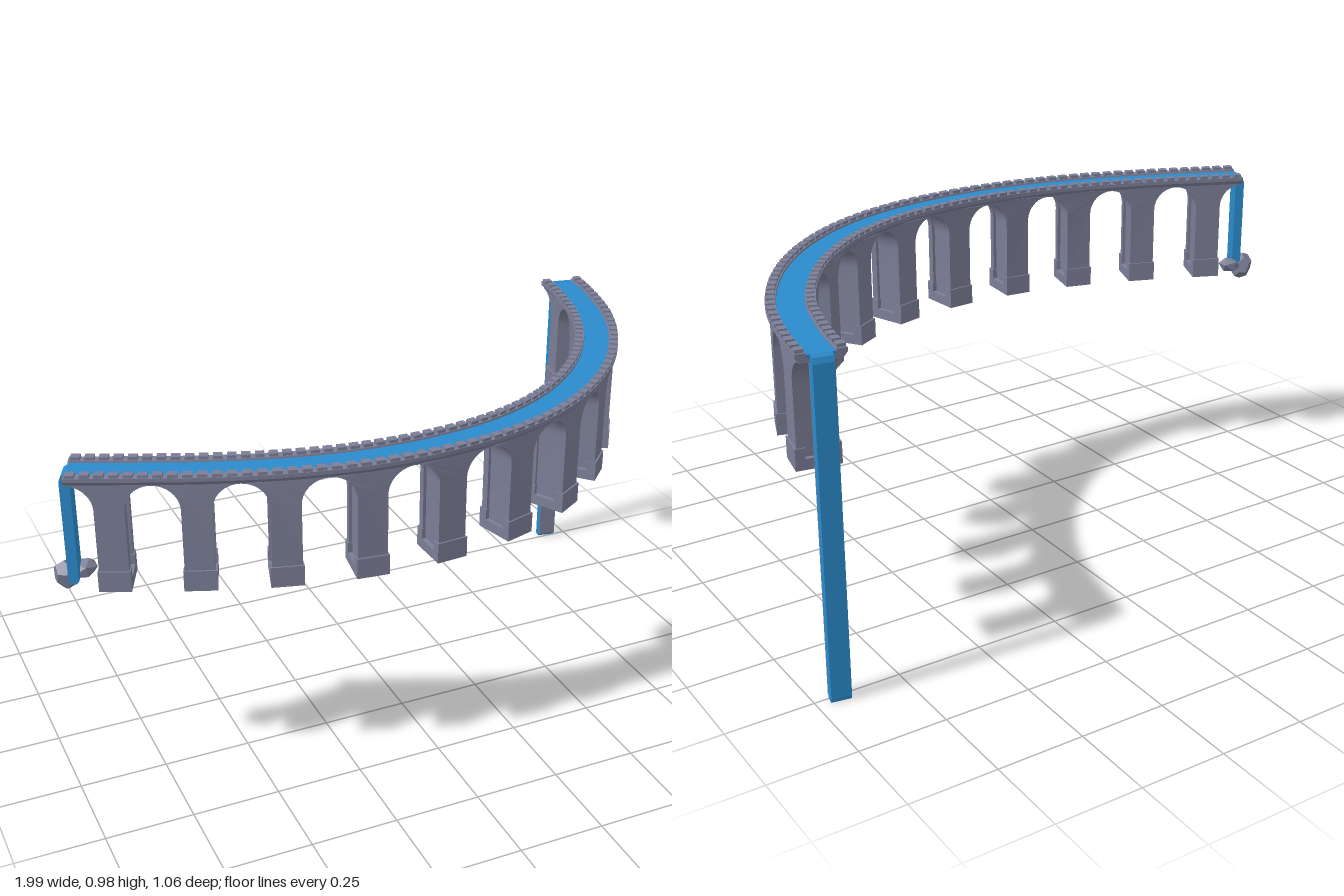
import * as THREE from 'three';
import { toCreasedNormals } from 'three/addons/utils/BufferGeometryUtils.js';

const stone = new THREE.MeshStandardMaterial({ color: 0x7b7e96 });
stone.name = 'stone';
const water = new THREE.MeshStandardMaterial({ color: 0x2a8acb });
water.name = 'water';

// Centre line of the aqueduct, through the pier positions
const path = new THREE.CatmullRomCurve3([
  [-0.945, 0.205], [-0.84, 0.25], [-0.625, 0.34], [-0.41, 0.41], [-0.195, 0.45],
  [0.025, 0.452], [0.235, 0.415], [0.43, 0.33], [0.605, 0.195], [0.745, 0.027],
  [0.85, -0.17], [0.912, -0.39], [0.932, -0.513],
].map(([x, z]) => new THREE.Vector3(x, 0, z)));
const LENGTH = path.getLength();
const BAYS = 11;
const BAY = LENGTH / BAYS;

// Bends a geometry laid out as x = distance along, y = height, z = outward offset
function bend(geo) {
  const p = geo.attributes.position;
  for (let i = 0; i < p.count; i++) {
    const u = THREE.MathUtils.clamp(p.getX(i) / LENGTH, 0, 1);
    const c = path.getPointAt(u), t = path.getTangentAt(u), w = p.getZ(i);
    p.setXYZ(i, c.x - t.z * w, p.getY(i), c.z + t.x * w);
  }
  return toCreasedNormals(geo, 0.5);
}

// Straight-sided cross-section [offset, height] swept along the whole path
function sweep(profile) {
  const shape = new THREE.Shape(profile.map(([w, y]) => new THREE.Vector2(-w, y)));
  const geo = new THREE.ExtrudeGeometry(shape, { depth: LENGTH, steps: 66, bevelEnabled: false });
  return bend(geo.rotateY(Math.PI / 2));
}

// Pier with half an arch on each side
function pierShape(halfWidth, bottom) {
  const r = BAY / 2 - halfWidth, apex = 0.946, spring = apex - r, top = 0.955;
  const side = [[halfWidth, bottom]];
  for (let i = 0; i <= 10; i++) {
    const a = (i / 10) * Math.PI / 2;
    side.push([BAY / 2 - r * Math.cos(a), spring + r * Math.sin(a)]);
  }
  for (let i = 3; i > 0; i--) side.push([BAY / 2 * i / 3, top]);
  const mirrored = side.map(([x, y]) => [-x, y]).reverse();
  return new THREE.Shape([...side, [0, top], ...mirrored].map(([x, y]) => new THREE.Vector2(x, y)));
}

function slab(shape, along, from, to) {
  const geo = new THREE.ExtrudeGeometry(shape, { depth: to - from, bevelEnabled: false, steps: 1 });
  return bend(geo.translate(along, 0, from));
}

function block(along, y0, y1, from, to, width) {
  const geo = new THREE.BoxGeometry(width, y1 - y0, to - from);
  return bend(geo.translate(along, (y0 + y1) / 2, (from + to) / 2));
}

function add(parent, name, geo, material) {
  const mesh = new THREE.Mesh(geo, material);
  mesh.name = name;
  parent.add(mesh);
  return mesh;
}

// Group standing at one end of the path, local x along the path
function endFrame(u, name) {
  const g = new THREE.Group(), t = path.getTangentAt(u);
  g.name = name;
  g.position.copy(path.getPointAt(u));
  g.rotation.y = Math.atan2(-t.z, t.x);
  return g;
}

// Falling water with a rounded lip and a chamfered foot; dir is the outward way
function fallGeometry(bottom, width, dir) {
  const outline = [[-0.012, bottom + 0.008], [-0.006, bottom], [0.014, bottom], [0.016, bottom + 0.01],
    [0.016, 0.945], [0.01, 0.96], [0, 0.967], [-0.012, 0.967]];
  const shape = new THREE.Shape(outline.map(([x, y]) => new THREE.Vector2(x * dir, y)));
  return new THREE.ExtrudeGeometry(shape, { depth: width, bevelEnabled: false }).translate(0, 0, -width / 2);
}

export function createModel() {
  const model = new THREE.Group();
  model.name = 'aqueduct';

  // Arcade: two arched rims around a recessed core, on plinths
  const arcade = new THREE.Group();
  arcade.name = 'arcade';
  model.add(arcade);
  for (let k = 0; k < BAYS; k++) {
    const s = (k + 0.5) * BAY;
    add(arcade, 'pierCore', slab(pierShape(0.031, 0.66), s, -0.036, 0.036), stone);
    for (const side of [-1, 1]) {
      const a = side * 0.036, b = side * 0.056;
      add(arcade, 'archRim', slab(pierShape(0.04, 0.66), s, Math.min(a, b), Math.max(a, b)), stone);
      const c = side * 0.034, d = side * 0.061;
      add(arcade, 'plinthSide', block(s, 0.66, 0.695, Math.min(c, d), Math.max(c, d), 0.087), stone);
    }
    add(arcade, 'plinth', block(s, 0.635, 0.665, -0.061, 0.061, 0.087), stone);
  }

  // Channel with cornice and low walls
  add(model, 'channel', sweep([
    [-0.056, 0.948], [0.056, 0.948], [0.066, 0.96], [0.066, 0.971], [0.038, 0.971],
    [0.035, 0.957], [-0.035, 0.957], [-0.038, 0.971], [-0.066, 0.971], [-0.066, 0.96],
  ]), stone);
  add(model, 'channelWater', sweep([
    [-0.037, 0.957], [0.037, 0.957], [0.037, 0.966], [-0.037, 0.966],
  ]), water);

  // Row of small merlons on both walls
  const merlons = new THREE.Group();
  merlons.name = 'merlons';
  model.add(merlons);
  const COUNT = 66;
  for (let i = 0; i < COUNT; i++) {
    const s = (i + 0.5) * LENGTH / COUNT;
    add(merlons, 'merlonOuter', block(s, 0.969, 0.98, 0.041, 0.064, 0.025), stone);
    add(merlons, 'merlonInner', block(s, 0.969, 0.98, -0.064, -0.041, 0.025), stone);
  }

  // Tall waterfall with a stone back
  const tall = endFrame(1, 'tallWaterfall');
  add(tall, 'fallingWater', fallGeometry(0, 0.056, 1), water);
  add(tall, 'stoneBack', new THREE.BoxGeometry(0.004, 0.935, 0.056).translate(-0.014, 0.478, 0), stone);
  model.add(tall);

  // Short waterfall landing on rocks
  const short = endFrame(0, 'shortWaterfall');
  add(short, 'fallingWater', fallGeometry(0.64, 0.058, -1), water);
  model.add(short);
  const rocks = [
    ['largeRock', new THREE.DodecahedronGeometry(1), [-0.966, 0.65, 0.187], [0.034, 0.045, 0.036], 0.4],
    ['flatRock', new THREE.IcosahedronGeometry(1), [-0.918, 0.66, 0.19], [0.04, 0.027, 0.034], 0.2],
  ];
  for (const [name, geo, pos, size, tilt] of rocks) {
    const rock = add(model, name, geo, stone);
    rock.position.set(...pos);
    rock.scale.set(...size);
    rock.rotation.z = tilt;
  }
  return model;
}
